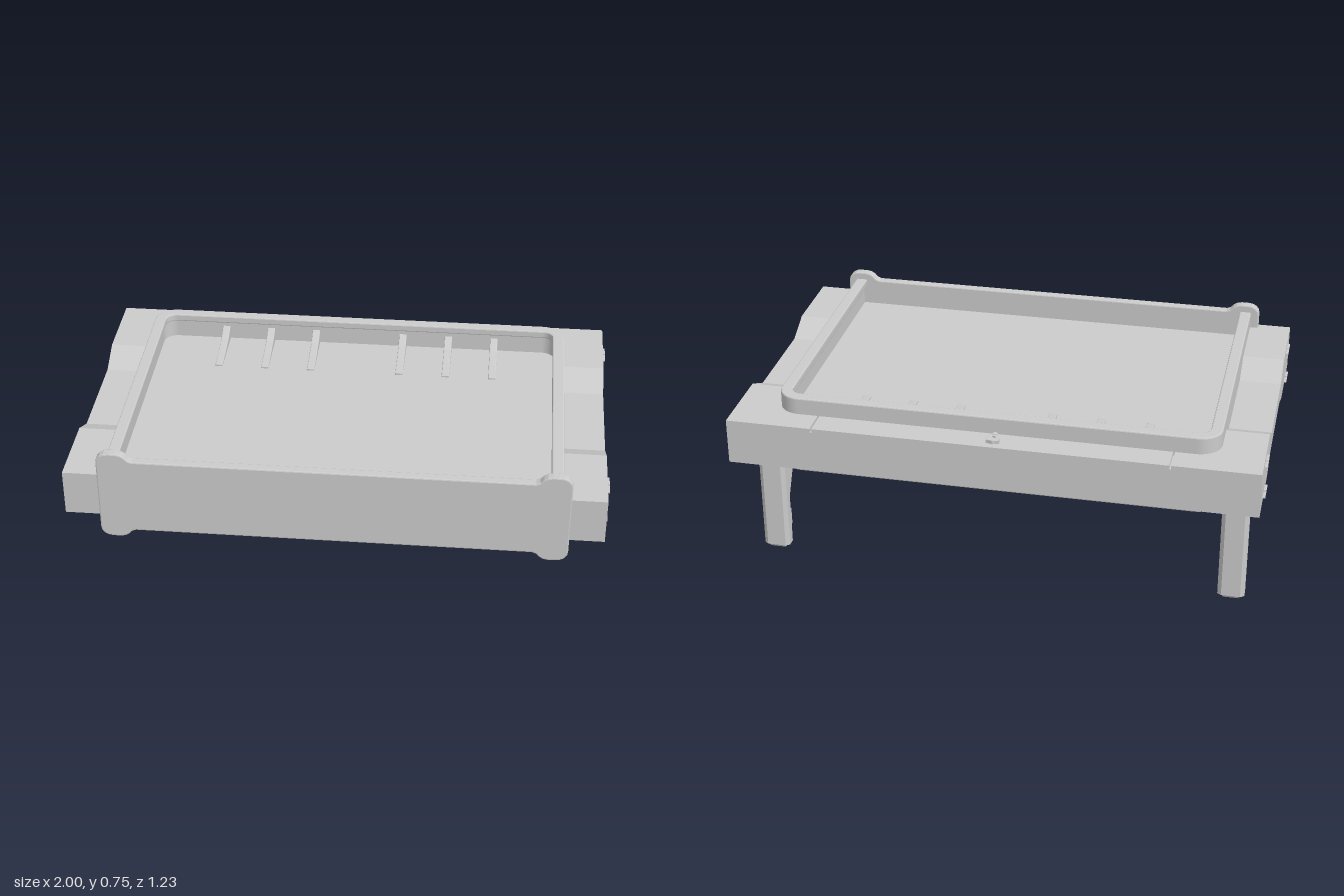
import * as THREE from 'three';

const grey = new THREE.MeshStandardMaterial({ color: 0xcbcbcb });
grey.name = 'plain grey';

function add(parent, name, geometry) {
  const mesh = new THREE.Mesh(geometry, grey);
  mesh.name = name;
  parent.add(mesh);
  return mesh;
}

// Box given by its limits on each axis
function box(parent, name, x0, x1, y0, y1, z0, z1) {
  const mesh = add(parent, name, new THREE.BoxGeometry(x1 - x0, y1 - y0, z1 - z0));
  mesh.position.set((x0 + x1) / 2, (y0 + y1) / 2, (z0 + z1) / 2);
  return mesh;
}

const polygon = (points) => new THREE.Shape(points.map(([x, y]) => new THREE.Vector2(x, y)));

function extrude(shape, depth, bevel = 0) {
  return new THREE.ExtrudeGeometry(shape, {
    depth: depth - 2 * bevel, bevelEnabled: bevel > 0, bevelSize: bevel, bevelThickness: bevel,
    bevelOffset: -bevel, bevelSegments: 2, curveSegments: 8,
  }).translate(0, 0, bevel);
}

// Plan outline in (x, -z), raised from y0 to y1
const raisePlan = (shape, y0, y1, bevel) =>
  extrude(shape, y1 - y0, bevel).rotateX(-Math.PI / 2).translate(0, y0, 0);

// Side outline in (z, y), spanning x0 to x1
const spanSide = (points, x0, x1, bevel) =>
  extrude(polygon(points.map(([z, y]) => [-z, y])), x1 - x0, bevel)
    .rotateY(Math.PI / 2).translate(x0, 0, 0);

// U-shaped wall outline of the given thickness, open towards the front
function wallOutline(thickness) {
  const inner = 0.83 - thickness;
  const r = 0.085 - thickness;
  const s = new THREE.Shape();
  s.moveTo(-0.83, -0.59);
  s.lineTo(-inner, -0.59);
  s.lineTo(-inner, 0.425);
  s.absarc(-0.745, 0.425, r, Math.PI, Math.PI / 2, true);
  s.lineTo(0.745, 0.425 + r);
  s.absarc(0.745, 0.425, r, Math.PI / 2, 0, true);
  s.lineTo(inner, -0.59);
  s.lineTo(0.83, -0.59);
  s.lineTo(0.83, 0.425);
  s.absarc(0.745, 0.425, 0.085, 0, Math.PI / 2, false);
  s.lineTo(-0.745, 0.51);
  s.absarc(-0.745, 0.425, 0.085, Math.PI / 2, Math.PI, false);
  return s;
}

// Front panel with a rounded lug at each corner, mirrored from one quarter
function frontOutline() {
  const quarter = [[0.862, 0.142], [0.859, 0.158], [0.848, 0.172], [0.832, 0.18], [0.812, 0.182],
    [0.79, 0.182], [0.772, 0.179], [0.757, 0.17], [0.745, 0.157], [0.73, 0.151]];
  const back = [...quarter].reverse();
  return polygon([
    ...quarter, ...back.map(([x, y]) => [-x, y]),
    ...quarter.map(([x, y]) => [-x, -y]), ...back.map(([x, y]) => [x, -y]),
  ]);
}

function buildTray() {
  const tray = new THREE.Group();
  tray.name = 'tray';
  // Walls with a slightly thicker lip along the top and bottom
  add(tray, 'trayWalls', raisePlan(wallOutline(0.032), 0.43, 0.7));
  add(tray, 'upperLip', raisePlan(wallOutline(0.045), 0.69, 0.72, 0.005));
  add(tray, 'lowerLip', raisePlan(wallOutline(0.045), 0.412, 0.442, 0.005));
  box(tray, 'trayFloor', -0.805, 0.805, 0.515, 0.615, -0.485, 0.59);
  add(tray, 'frontPanel', extrude(frontOutline(), 0.036, 0.005).translate(0, 0.567, 0.578));

  // Low curved ribs bracing the back wall
  const rib = spanSide([[-0.485, 0.605], [-0.25, 0.605], [-0.25, 0.621], [-0.34, 0.63],
    [-0.42, 0.643], [-0.46, 0.658], [-0.485, 0.675]], -0.015, 0.015, 0.003);
  for (const x of [-0.545, -0.36, -0.175, 0.18, 0.365, 0.55]) {
    add(tray, 'floorRib', rib).position.x = x;
  }
  return tray;
}

function buildSide(sign) {
  const side = new THREE.Group();
  side.name = sign > 0 ? 'leftSide' : 'rightSide';
  const span = (points, x0, x1, bevel) =>
    sign > 0 ? spanSide(points, x0, x1, bevel) : spanSide(points, -x1, -x0, bevel);
  const block = (name, x0, x1, ...rest) =>
    box(side, name, Math.min(sign * x0, sign * x1), Math.max(sign * x0, sign * x1), ...rest);

  // Side rail with a narrow waist for the hand
  add(side, 'sideRail', span([[-0.48, 0.48], [-0.31, 0.48], [-0.2, 0.525], [0.2, 0.525],
    [0.31, 0.48], [0.61, 0.48], [0.61, 0.655], [0.31, 0.655], [0.2, 0.603], [-0.2, 0.603],
    [-0.31, 0.655], [-0.48, 0.655]], 0.81, 0.99));

  // Raised dashes on the outer face
  for (const end of [-1, 1]) for (const y of [0.502, 0.627]) for (const z of [0.438, 0.488]) {
    block('railDash', 0.985, 1, y - 0.002, y + 0.002, end * z - 0.022, end * z + 0.022);
  }

  // Channel leg, open towards the front, with a wider flange at the back
  const leg = raisePlan(polygon([[-0.036, 0.35], [-0.016, 0.35], [-0.016, 0.405],
    [0.016, 0.405], [0.016, 0.35], [0.036, 0.35], [0.036, 0.388], [0.051, 0.392],
    [0.051, 0.424], [0.036, 0.436], [-0.036, 0.436], [-0.051, 0.424], [-0.051, 0.392],
    [-0.036, 0.388]]), 0.016, 0.49);
  add(side, 'leg', leg).position.x = sign * 0.893;
  add(side, 'footPad', span([[-0.375, 0.03], [-0.375, 0.015], [-0.39, 0], [-0.42, 0],
    [-0.432, 0.015], [-0.432, 0.03]], 0.863, 0.923));

  // Diagonal brace with its upper bracket and lower shoe
  add(side, 'brace', span([[-0.115, 0.46], [-0.315, 0.11], [-0.37, 0.11], [-0.37, 0.135],
    [-0.185, 0.46]], 0.879, 0.907));
  add(side, 'braceBracket', span([[-0.06, 0.53], [-0.06, 0.456], [-0.066, 0.45],
    [-0.184, 0.45], [-0.19, 0.456], [-0.19, 0.53]], 0.855, 0.931));
  add(side, 'braceShoe', span([[-0.3, 0.107], [-0.3, 0.042], [-0.312, 0.022],
    [-0.4, 0.022], [-0.4, 0.125], [-0.35, 0.125]], 0.872, 0.914));
  return side;
}

function buildBackBeam() {
  const beam = new THREE.Group();
  beam.name = 'backBeam';
  // Three lengths with fine joints, notched along the top and bottom
  box(beam, 'beamMiddle', -0.661, 0.661, 0.48, 0.655, -0.613, -0.48);
  for (const s of [-1, 1]) {
    const [a, b] = [s * 0.668, s * 0.99].sort((p, q) => p - q);
    box(beam, 'beamEnd', a, b, 0.48, 0.655, -0.613, -0.48);
    box(beam, 'beamJoint', s * 0.6645 - 0.0035, s * 0.6645 + 0.0035, 0.495, 0.64, -0.613, -0.48);
  }

  // Small shield-shaped catch and peg, above and below
  const ring = polygon([[-0.024, 0.018], [-0.012, 0.02], [0, 0.024], [0.012, 0.02],
    [0.024, 0.018], [0.023, -0.006], [0.012, -0.022], [-0.012, -0.022], [-0.023, -0.006]]);
  ring.holes.push(new THREE.Path().absarc(0, 0, 0.014, 0, Math.PI * 2, true));
  const catchRing = raisePlan(ring, 0, 0.02, 0.002);
  for (const y of [0.65, 0.465]) {
    add(beam, 'catchRing', catchRing).position.set(-0.012, y, -0.565);
    add(beam, 'catchPeg', new THREE.CylinderGeometry(0.01, 0.01, 0.016, 12))
      .position.set(-0.012, y + 0.01, -0.53);
  }
  return beam;
}

export function createModel() {
  const model = new THREE.Group();
  model.name = 'foldingTrayTable';
  model.add(buildTray(), buildBackBeam(), buildSide(1), buildSide(-1));
  return model;
}
